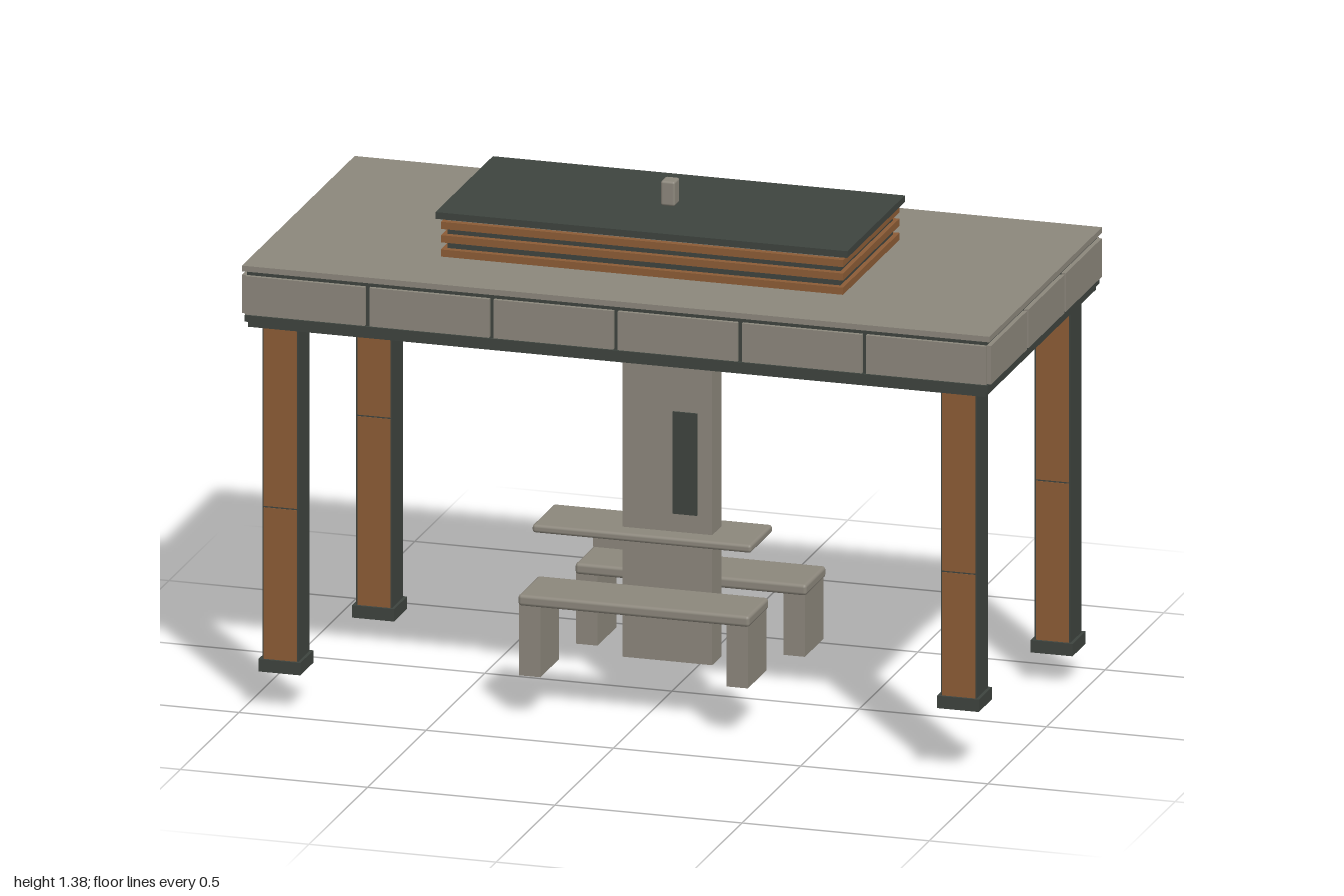
import * as THREE from 'three';
import { RoundedBoxGeometry } from 'three/addons/geometries/RoundedBoxGeometry.js';

const material = (name, color) => {
  const m = new THREE.MeshStandardMaterial({ color });
  m.name = name;
  return m;
};

export function createModel() {
  const stone = material('stone', 0x8c877c);
  const dark = material('dark metal', 0x3e443f);
  const wood = material('wood', 0x8c5c36);

  const model = new THREE.Group();
  model.name = 'pavilion';

  const group = (name) => {
    const g = new THREE.Group();
    g.name = name;
    model.add(g);
    return g;
  };

  // Box given by its min and max on each axis; optional rounded edges
  const box = (parent, name, mat, [x0, x1], [y0, y1], [z0, z1], radius = 0) => {
    const w = x1 - x0, h = y1 - y0, d = z1 - z0;
    const geo = radius ? new RoundedBoxGeometry(w, h, d, 2, radius) : new THREE.BoxGeometry(w, h, d);
    const mesh = new THREE.Mesh(geo, mat);
    mesh.name = name;
    mesh.position.set((x0 + x1) / 2, (y0 + y1) / 2, (z0 + z1) / 2);
    parent.add(mesh);
    return mesh;
  };
  const span = (half, centre = 0) => [centre - half, centre + half];

  // Roof slab: stepped dark rails, dark core and stone cap
  const roof = group('roof');
  box(roof, 'lowerRail', dark, span(0.985), [1.025, 1.04], span(0.472));
  box(roof, 'upperRail', dark, span(0.992), [1.04, 1.057], span(0.478));
  box(roof, 'roofCore', dark, span(0.988), [1.057, 1.175], span(0.471));
  box(roof, 'roofCap', stone, span(0.998), [1.175, 1.19], span(0.481));

  // Fascia panels with narrow gaps, six along and three across
  const gap = 0.006;
  for (const s of [-1, 1]) {
    for (let i = 0; i < 6; i++) {
      const w = 1.99 / 6, x = -0.995 + w * (i + 0.5);
      box(roof, 'longFasciaPanel', stone, span(w / 2 - gap, x), [1.06, 1.163], span(0.008, s * 0.474));
    }
    for (let i = 0; i < 3; i++) {
      const w = 0.956 / 3, z = -0.478 + w * (i + 0.5);
      box(roof, 'endFasciaPanel', stone, span(0.008, s * 0.992), [1.06, 1.163], span(w / 2 - gap, z));
    }
  }

  // Louvred skylight with lid and finial
  const skylight = group('skylight');
  const cz = 0.016;
  box(skylight, 'skylightCore', dark, span(0.525), [1.19, 1.283], span(0.224, cz));
  box(skylight, 'skylightTrim', stone, span(0.525), [1.283, 1.291], span(0.224, cz));
  for (const y of [1.19, 1.228, 1.264]) {
    box(skylight, 'louvre', wood, span(0.537), [y, y + 0.019], span(0.241, cz));
  }
  box(skylight, 'lid', dark, span(0.55), [1.291, 1.309], span(0.245, cz));
  box(skylight, 'finial', stone, span(0.019), [1.309, 1.375], span(0.022, cz), 0.006);

  // Four posts standing on sloping ground
  const posts = [[-1, 1, 0.1], [1, 1, 0.175], [-1, -1, 0], [1, -1, 0.08]];
  for (const [sx, sz, base] of posts) {
    const post = group('post');
    const x = sx * 0.906, z = sz * 0.4, foot = base + 0.033;
    box(post, 'postFoot', dark, span(0.056, x), [base, foot], span(0.056, z));
    box(post, 'postShaft', dark, span(0.048, x), [foot, 1.025], span(0.047, z));
    // Wood facings on the front and back, in two lengths
    for (const s of [-1, 1]) {
      for (const ys of [[foot, 0.538], [0.542, 1.025]]) {
        box(post, 'postFacing', wood, span(0.044, x), ys, span(0.002, z + s * 0.047));
      }
    }
  }

  // Central pier with an inset strip on both faces
  const pier = group('pier');
  box(pier, 'pierSlab', stone, span(0.12), [0.093, 1.025], span(0.04));
  for (const s of [-1, 1]) {
    box(pier, 'pierStrip', dark, [0.015, 0.08], [0.49, 0.763], span(0.0025, s * 0.0422));
  }

  // Table board through the pier, with a bracket below
  const table = group('table');
  box(table, 'tableTop', stone, [-0.345, 0.24], [0.419, 0.441], span(0.093), 0.008);
  box(table, 'tableBracket', stone, [-0.2, -0.11], [0.378, 0.42], span(0.035));

  // Two benches, the back one lower
  for (const [z, top] of [[0.244, 0.329], [-0.243, 0.265]]) {
    const bench = group('bench');
    box(bench, 'benchSeat', stone, span(0.309), [top - 0.03, top], span(0.086, z), 0.009);
    box(bench, 'benchLeg', stone, [-0.307, -0.25], [top - 0.217, top - 0.025], span(0.08, z));
    box(bench, 'benchLeg', stone, [0.247, 0.304], [top - 0.194, top - 0.025], span(0.08, z));
  }

  return model;
}
